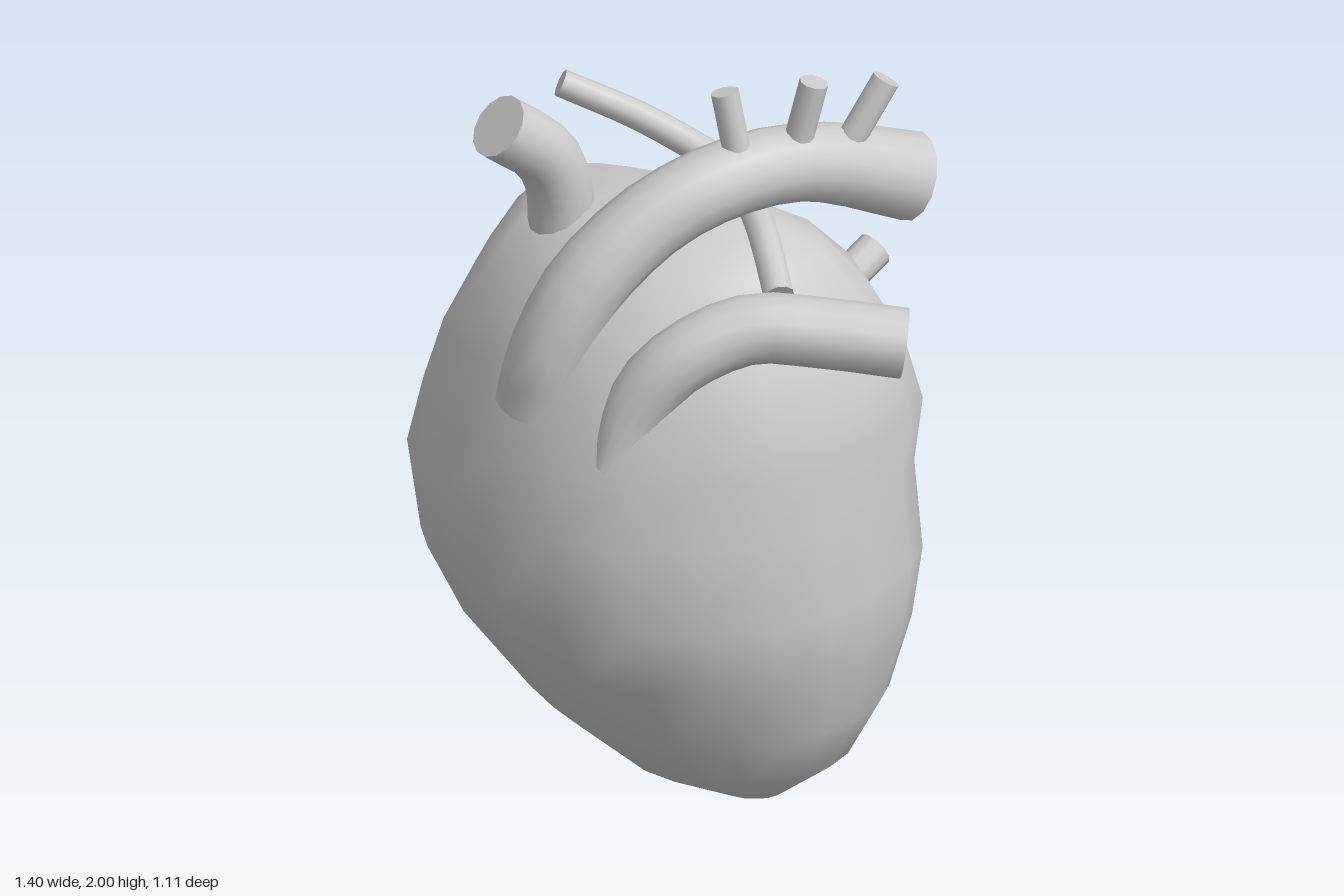
import * as THREE from 'three';

const material = new THREE.MeshStandardMaterial({ color: 0xcccccc });
const V = (p) => new THREE.Vector3(...p);

// Plan outline of the heart at its widest: [x, z], clockwise from the right side
const OUTLINE = [
  [-0.69, -0.15], [-0.63, -0.33], [-0.53, -0.41], [-0.38, -0.48], [-0.17, -0.53], [0.1, -0.51],
  [0.4, -0.45], [0.55, -0.3], [0.58, -0.18], [0.57, 0], [0.53, 0.15], [0.45, 0.31], [0.3, 0.42],
  [0.13, 0.52], [-0.07, 0.545], [-0.27, 0.51], [-0.42, 0.43], [-0.58, 0.32], [-0.65, 0.23], [-0.69, 0.05],
].map(([x, z]) => [(x + 0.055) / 0.635, z / 0.538]);

// Levels of the heart: [y, min x, max x, back z, front z]
const LEVELS = [
  [0.03, 0.08, 0.27, -0.12, 0.03],
  [0.15, -0.18, 0.42, -0.28, 0.23],
  [0.31, -0.39, 0.5, -0.385, 0.37],
  [0.51, -0.56, 0.555, -0.45, 0.47],
  [0.7, -0.645, 0.58, -0.49, 0.545],
  [0.93, -0.69, 0.545, -0.515, 0.54],
  [1.1, -0.66, 0.56, -0.525, 0.5],
  [1.27, -0.61, 0.52, -0.48, 0.455],
  [1.44, -0.53, 0.44, -0.39, 0.37],
  [1.56, -0.46, 0.35, -0.28, 0.25],
  [1.63, -0.38, 0.24, -0.17, 0.14],
];

// Closed body lofted through the levels, with a pole at each end
function heartBody() {
  const n = OUTLINE.length, pos = [], index = [];
  for (const [y, x0, x1, z0, z1] of LEVELS) {
    for (const [u, w] of OUTLINE) {
      pos.push((x0 + x1) / 2 + (u * (x1 - x0)) / 2, y, (z0 + z1) / 2 + (w * (z1 - z0)) / 2);
    }
  }
  const bottom = pos.length / 3, top = bottom + 1, last = (LEVELS.length - 1) * n;
  pos.push(0.18, 0, -0.04, -0.06, 1.655, -0.02);
  for (let j = 0; j < n; j++) {
    const k = (j + 1) % n;
    index.push(bottom, j, k, top, last + k, last + j);
    for (let i = 0; i < last; i += n) {
      index.push(i + j, i + n + j, i + k, i + k, i + n + j, i + n + k);
    }
  }
  const g = new THREE.BufferGeometry();
  g.setAttribute('position', new THREE.Float32BufferAttribute(pos, 3));
  g.setIndex(index);
  g.computeVertexNormals();
  return new THREE.Mesh(g, material);
}

// Capped tube along a smooth path; its radius follows the list of radii
function vessel(name, points, radii, segments = 14, sides = 14) {
  const group = new THREE.Group();
  group.name = name;
  const curve = new THREE.CatmullRomCurve3(points.map(V), false, 'centripetal');
  const g = new THREE.TubeGeometry(curve, segments, 1, sides, false);
  const pos = g.attributes.position, v = new THREE.Vector3();
  for (let i = 0; i <= segments; i++) {
    const t = i / segments, f = t * (radii.length - 1);
    const a = Math.min(Math.floor(f), radii.length - 1), b = Math.min(a + 1, radii.length - 1);
    const r = THREE.MathUtils.lerp(radii[a], radii[b], f - a);
    const centre = curve.getPointAt(t);
    for (let j = 0; j <= sides; j++) {
      const k = i * (sides + 1) + j;
      v.fromBufferAttribute(pos, k).sub(centre).multiplyScalar(r).add(centre);
      pos.setXYZ(k, v.x, v.y, v.z);
    }
  }
  const wall = new THREE.Mesh(g, material);
  wall.name = name + 'Wall';
  group.add(wall);
  // Flat caps fan out over the end rings
  for (const end of [0, 1]) {
    const ring = end * segments * (sides + 1), c = curve.getPointAt(end);
    const p = [c.x, c.y, c.z], idx = [];
    for (let j = 0; j <= sides; j++) {
      v.fromBufferAttribute(pos, ring + j);
      p.push(v.x, v.y, v.z);
      if (j < sides) idx.push(0, end ? j + 1 : j + 2, end ? j + 2 : j + 1);
    }
    const cg = new THREE.BufferGeometry();
    cg.setAttribute('position', new THREE.Float32BufferAttribute(p, 3));
    cg.setIndex(idx);
    cg.computeVertexNormals();
    // Face each cap away from the tube
    const out = curve.getTangentAt(end).multiplyScalar(end ? 1 : -1);
    if (v.fromBufferAttribute(cg.attributes.normal, 0).dot(out) < 0) {
      cg.setIndex(idx.reverse());
      cg.computeVertexNormals();
    }
    const cap = new THREE.Mesh(cg, material);
    cap.name = name + 'Cap';
    group.add(cap);
  }
  return group;
}

export function createModel() {
  const model = new THREE.Group();
  model.name = 'heart';
  const body = heartBody();
  body.name = 'heartBody';
  model.add(body);

  // Great vessels
  model.add(vessel('aorta', [
    [-0.21, 1.21, 0.38], [-0.17, 1.36, 0.38], [-0.1, 1.54, 0.32], [0, 1.68, 0.19], [0.1, 1.75, 0.06],
    [0.2, 1.765, -0.1], [0.29, 1.735, -0.24], [0.425, 1.64, -0.435],
  ], [0.1, 0.105, 0.1, 0.1, 0.115], 16));
  model.add(vessel('pulmonaryArtery', [
    [0.04, 1.12, 0.45], [0.09, 1.28, 0.41], [0.18, 1.41, 0.35], [0.32, 1.485, 0.23],
    [0.48, 1.47, 0.13], [0.66, 1.44, 0.03],
  ], [0.04, 0.085, 0.09, 0.09, 0.09]));
  model.add(vessel('venaCava', [
    [-0.29, 1.56, 0.09], [-0.29, 1.67, 0.1], [-0.31, 1.78, 0.14], [-0.38, 1.895, 0.255],
  ], [0.085, 0.085, 0.085], 8));
  model.add(vessel('thinArtery', [
    [-0.37, 1.88, -0.05], [-0.2, 1.79, -0.14], [-0.06, 1.72, -0.18], [0.04, 1.68, -0.18],
    [0.16, 1.66, -0.08], [0.26, 1.63, 0.03], [0.36, 1.55, 0.14],
  ], [0.036, 0.04, 0.04], 14, 10));

  // Three branches on top of the arch
  [
    [[0.17, 1.78, -0.01], [0.12, 1.995, -0.015]],
    [[0.245, 1.78, -0.145], [0.29, 1.995, -0.17]],
    [[0.32, 1.75, -0.25], [0.4, 1.95, -0.345]],
  ].forEach((p, i) => model.add(vessel('archBranch' + (i + 1), p, [0.037, 0.037], 1, 10)));

  // Vein stubs on the back
  model.add(vessel('rightVein', [[-0.28, 1.18, -0.38], [-0.31, 1.245, -0.525]], [0.078, 0.078], 1));
  model.add(vessel('leftVein', [[0.24, 1.3, -0.34], [0.29, 1.375, -0.49]], [0.048, 0.048], 1, 10));
  return model;
}
